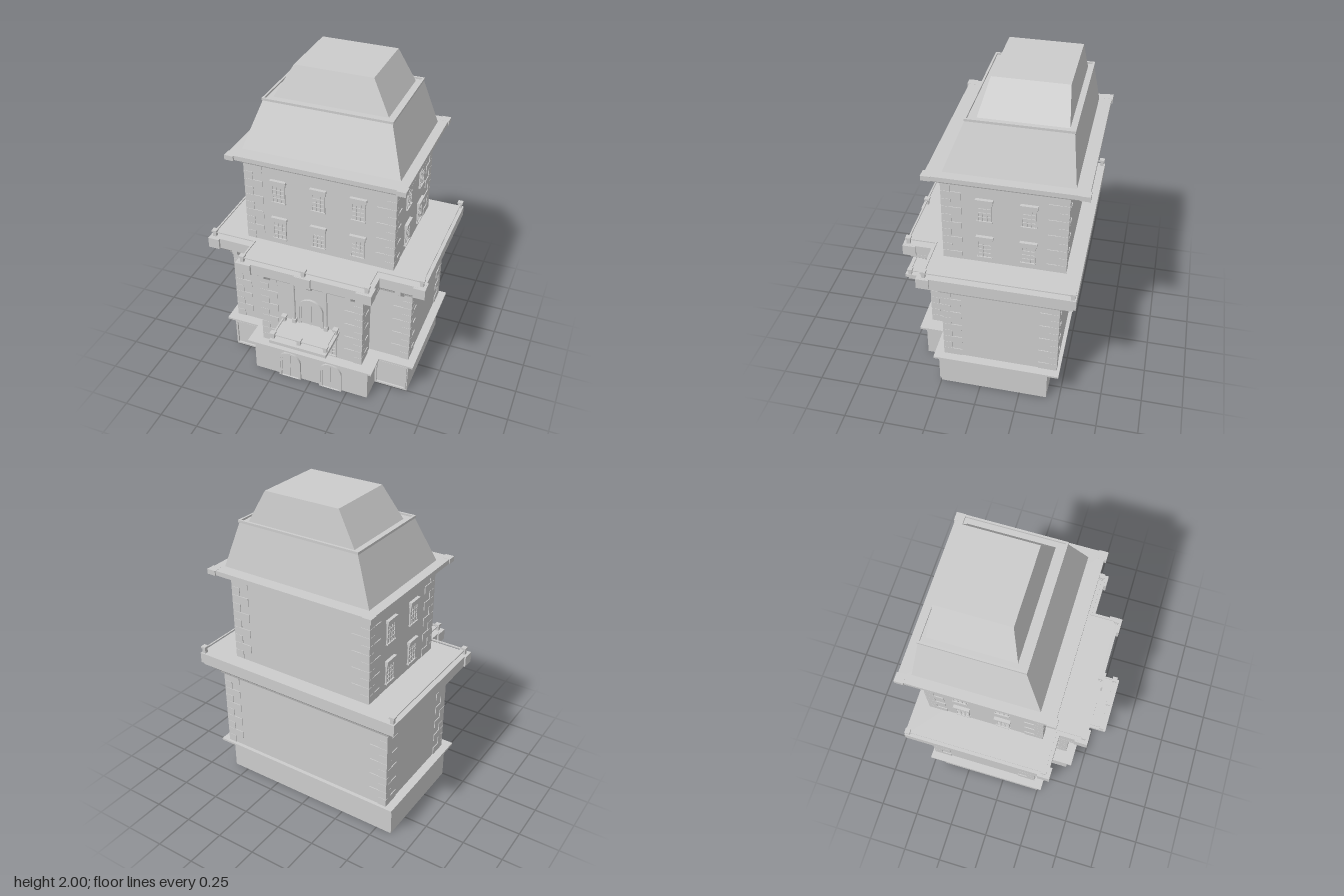
import * as THREE from 'three';

const mat = new THREE.MeshStandardMaterial({ color: 0xcccccc, flatShading: true, side: THREE.DoubleSide });

function add(parent, name, geo, x = 0, y = 0, z = 0) {
  const m = new THREE.Mesh(geo, mat);
  m.name = name;
  m.position.set(x, y, z);
  parent.add(m);
  return m;
}
const box = (p, name, w, h, d, x, y, z) => add(p, name, new THREE.BoxGeometry(w, h, d), x, y, z);
function group(parent, name) {
  const g = new THREE.Group();
  g.name = name;
  parent.add(g);
  return g;
}

// Plan outlines as [x, z]: a rectangle, and a block with a projecting centre bay
const rect = (w, zb, zf) => [[-w, zb], [-w, zf], [w, zf], [w, zb]];
const tee = (w, c, zb, zw, zc, o = 0) => {
  const W = w + o, C = c + o, B = zb - o, F = zw + o, P = zc + o;
  return [[-W, B], [-W, F], [-C, F], [-C, P], [C, P], [C, F], [W, F], [W, B]];
};

// Joins stacked outlines [y, outline] with flat walls, closed by caps if wanted
function loft(rings, caps = true) {
  const pos = [];
  const put = (ring, i) => pos.push(ring[1][i][0], ring[0], ring[1][i][1]);
  for (let r = 0; r < rings.length - 1; r++) {
    const a = rings[r], b = rings[r + 1], n = a[1].length;
    for (let i = 0; i < n; i++) {
      const j = (i + 1) % n;
      put(a, i); put(a, j); put(b, j);
      put(a, i); put(b, j); put(b, i);
    }
  }
  if (caps) {
    for (const [ring, up] of [[rings[0], false], [rings[rings.length - 1], true]]) {
      const pts = ring[1].map(([x, z]) => new THREE.Vector2(x, -z));
      for (const [a, b, c] of THREE.ShapeUtils.triangulateShape(pts, []))
        for (const k of up ? [a, b, c] : [a, c, b]) put(ring, k);
    }
  }
  const g = new THREE.BufferGeometry();
  g.setAttribute('position', new THREE.Float32BufferAttribute(pos, 3));
  g.computeVertexNormals();
  return g;
}

// Alternating corner stones; corners are [x, z, inward z direction]
function quoins(parent, corners, y0, y1, courses) {
  const g = group(parent, 'quoins'), h = (y1 - y0) / courses, t = 0.005;
  for (const [x, z, dir] of corners) for (const s of [-1, 1])
    for (let i = 0; i < courses; i++) {
      const a = i % 2 ? 0.11 : 0.05, b = i % 2 ? 0.05 : 0.11;
      box(g, 'quoin', a + t, h - 0.002, b + t,
        s * (x - (a - t) / 2), y0 + h * (i + 0.5), z + dir * (b - t) / 2);
    }
}

// Barred window, origin at its foot on the wall, facing +z
function makeWindow(parent, x, y, z, turn = 0) {
  const g = group(parent, 'window');
  g.position.set(x, y, z);
  g.rotation.y = turn;
  box(g, 'pane', 0.08, 0.13, 0.006, 0, 0.065, 0.001);
  for (let i = 0; i < 4; i++) box(g, 'bar', 0.006, 0.125, 0.01, -0.038 + i * 0.0253, 0.064, 0.004);
  for (let i = 0; i < 5; i++) box(g, 'crossBar', 0.08, 0.005, 0.01, 0, 0.005 + i * 0.028, 0.004);
  box(g, 'sill', 0.09, 0.008, 0.016, 0, 0.004, 0.006);
  box(g, 'lintel', 0.09, 0.02, 0.016, 0, 0.129, 0.006);
  box(g, 'lintelCap', 0.1, 0.018, 0.022, 0, 0.147, 0.009);
}

function archPath(Type, w, h) {
  const p = new Type(), r = w / 2;
  p.moveTo(-r, 0);
  p.lineTo(r, 0);
  p.lineTo(r, h - r);
  p.absarc(0, h - r, r, 0, Math.PI, false);
  p.lineTo(-r, 0);
  return p;
}
// Arched double door, origin at its foot on the wall
function makeDoor(parent, w, h, x, y, z) {
  const g = group(parent, 'archedDoor');
  g.position.set(x, y, z);
  const frame = (a, b, d) => {
    const s = archPath(THREE.Shape, w - 2 * a, h - a);
    if (b) s.holes.push(archPath(THREE.Path, w - 2 * b, h - b));
    return new THREE.ExtrudeGeometry(s, { depth: d, bevelEnabled: false, curveSegments: 16 });
  };
  add(g, 'doorFrame', frame(0, 0.012, 0.014));
  add(g, 'innerFrame', frame(0.012, 0.02, 0.009));
  add(g, 'doorLeaves', frame(0.02, 0, 0.003));
  box(g, 'doorSplit', 0.007, h - 0.02, 0.008, 0, (h - 0.02) / 2, 0.004);
}

// Rail posts at [x, z] linked in order by thin rails
function railing(parent, pts, y, noPost = []) {
  const g = group(parent, 'railing');
  pts.forEach(([x, z], i) => {
    if (!noPost.includes(i)) {
      box(g, 'post', 0.022, 0.04, 0.022, x, y + 0.02, z);
      box(g, 'postCap', 0.032, 0.012, 0.032, x, y + 0.04, z);
    }
    if (!i) return;
    const [px, pz] = pts[i - 1];
    box(g, 'rail', Math.abs(x - px) + 0.01, 0.007, Math.abs(z - pz) + 0.01, (x + px) / 2, y + 0.03, (z + pz) / 2);
  });
}

// Scrolled bracket under an overhang, from the wall at z
function bracket(parent, x, z) {
  const s = new THREE.Shape();
  s.moveTo(0, 0.855);
  s.lineTo(0, 0.76);
  s.lineTo(0.022, 0.755);
  s.bezierCurveTo(0.04, 0.8, 0.06, 0.79, 0.1, 0.825);
  s.lineTo(0.1, 0.855);
  const geo = new THREE.ExtrudeGeometry(s, { depth: 0.034, bevelEnabled: false, curveSegments: 6 });
  add(parent, 'bracket', geo.rotateY(-Math.PI / 2), x + 0.017, 0, z);
}

export function createModel() {
  const root = new THREE.Group();
  root.name = 'building';

  // Plinth, open underneath, with its ledge
  add(root, 'plinth', loft([[0, tee(0.6, 0.385, -0.42, 0.25, 0.4)], [0.22, tee(0.6, 0.385, -0.42, 0.25, 0.4)]], false));
  const ledge = o => tee(0.61, 0.39, -0.465, 0.255, 0.405, o);
  add(root, 'plinthLedge', loft([[0.215, ledge(0)], [0.23, ledge(0.008)], [0.232, ledge(0.028)], [0.245, ledge(0.028)]]));
  for (const s of [-1, 1]) {
    makeDoor(root, 0.15, 0.205, s * 0.14, 0, 0.4);
    const p = group(root, 'wingPanel');
    p.position.set(s * 0.491, 0.11, 0.25);
    for (const t of [-1, 1]) {
      box(p, 'panelSide', 0.012, 0.19, 0.014, t * 0.098, 0, 0.004);
      box(p, 'panelEdge', 0.208, 0.012, 0.014, 0, t * 0.092, 0.004);
    }
  }

  // Main storey with projecting centre bay
  const body = o => tee(0.585, 0.33, -0.47, 0.22, 0.37, o);
  add(root, 'mainWalls', loft([[0.24, body(0)], [0.77, body(0)]]));
  quoins(root, [[0.585, -0.47, 1], [0.585, 0.22, -1], [0.33, 0.37, -1]], 0.245, 0.76, 10);
  for (const s of [-1, 1]) makeWindow(root, s * 0.125, 0.26, 0.37);
  add(root, 'mainCornice', loft([[0.76, body(0)], [0.762, body(0.016)], [0.78, body(0.022)], [0.8, body(0.035)],
    [0.803, body(0.05)], [0.835, body(0.078)], [0.837, body(0.086)], [0.858, body(0.086)]]));
  for (const x of [-0.275, 0, 0.275]) bracket(root, x, 0.37);
  for (const x of [-0.525, 0.525]) bracket(root, x, 0.22);

  // Terrace slab, edge blocks and railing
  const slab = tee(0.68, 0.415, -0.57, 0.325, 0.485);
  add(root, 'terrace', loft([[0.856, slab], [0.922, slab]]));
  for (const s of [-1, 1]) {
    box(root, 'terraceBlock', 0.072, 0.067, 0.075, s * 0.654, 0.888, 0.3025);
    box(root, 'terraceBlock', 0.095, 0.067, 0.08, s * 0.3775, 0.888, 0.46);
  }
  box(root, 'terraceBlock', 0.1, 0.067, 0.05, 0, 0.888, 0.47);
  railing(root, [[-0.66, -0.55], [-0.66, 0.3], [-0.39, 0.3], [-0.39, 0.47], [0, 0.47],
    [0.39, 0.47], [0.39, 0.3], [0.66, 0.3], [0.66, -0.55]], 0.92, [2, 6]);

  // Balcony with arched door and slim columns
  const balcony = group(root, 'balcony');
  box(balcony, 'balconySlab', 0.37, 0.022, 0.225, 0, 0.455, 0.4775);
  box(balcony, 'balconySoffit', 0.35, 0.02, 0.205, 0, 0.434, 0.4675);
  railing(balcony, [[-0.17, 0.395], [-0.17, 0.56], [0, 0.56], [0.17, 0.56], [0.17, 0.395]], 0.462);
  makeDoor(balcony, 0.165, 0.205, 0, 0.46, 0.37);
  for (const s of [-1, 1]) {
    add(balcony, 'column', new THREE.CylinderGeometry(0.007, 0.009, 0.32, 12), s * 0.105, 0.625, 0.385);
    box(balcony, 'columnBase', 0.026, 0.03, 0.026, s * 0.105, 0.48, 0.385);
    box(balcony, 'columnCapital', 0.028, 0.02, 0.028, s * 0.105, 0.785, 0.387);
  }

  // Upper storeys
  const tower = o => rect(0.463 + o, -0.477 - o, 0.23 + o);
  add(root, 'towerWalls', loft([[0.92, tower(0)], [1.46, tower(0)]]));
  quoins(root, [[0.463, -0.477, 1], [0.463, 0.23, -1]], 0.925, 1.45, 10);
  for (const y of [0.96, 1.218]) {
    for (const x of [-0.25, 0, 0.245]) makeWindow(root, x, y, 0.23);
    for (const z of [-0.012, -0.262]) for (const s of [-1, 1]) makeWindow(root, s * 0.463, y, z, s * Math.PI / 2);
  }
  add(root, 'towerCornice', loft([[1.45, tower(0)], [1.452, tower(0.012)], [1.47, tower(0.02)], [1.473, tower(0.036)],
    [1.488, tower(0.05)], [1.49, tower(0.06)], [1.503, tower(0.066)]]));
  add(root, 'eavesSlab', loft([[1.502, rect(0.535, -0.585, 0.308)], [1.53, rect(0.535, -0.585, 0.308)]]));
  for (const s of [-1, 1]) {
    box(root, 'eavesBlock', 0.055, 0.03, 0.055, s * 0.5125, 1.516, 0.2925);
    box(root, 'eavesBlock', 0.055, 0.03, 0.055, s * 0.5125, 1.516, -0.5645);
  }

  // Two-stage hipped roof with a thin rim between the stages
  add(root, 'lowerRoof', loft([[1.53, rect(0.478, -0.51, 0.217)], [1.808, rect(0.382, -0.472, 0.108)]]));
  for (const s of [-1, 1]) {
    box(root, 'roofRim', 0.012, 0.014, 0.59, s * 0.382, 1.812, -0.182);
    box(root, 'roofRim', 0.776, 0.014, 0.012, 0, 1.812, -0.182 + s * 0.289);
  }
  add(root, 'upperRoof', loft([[1.805, rect(0.345, -0.442, 0.054)], [2, rect(0.235, -0.422, 0)]]));
  return root;
}
